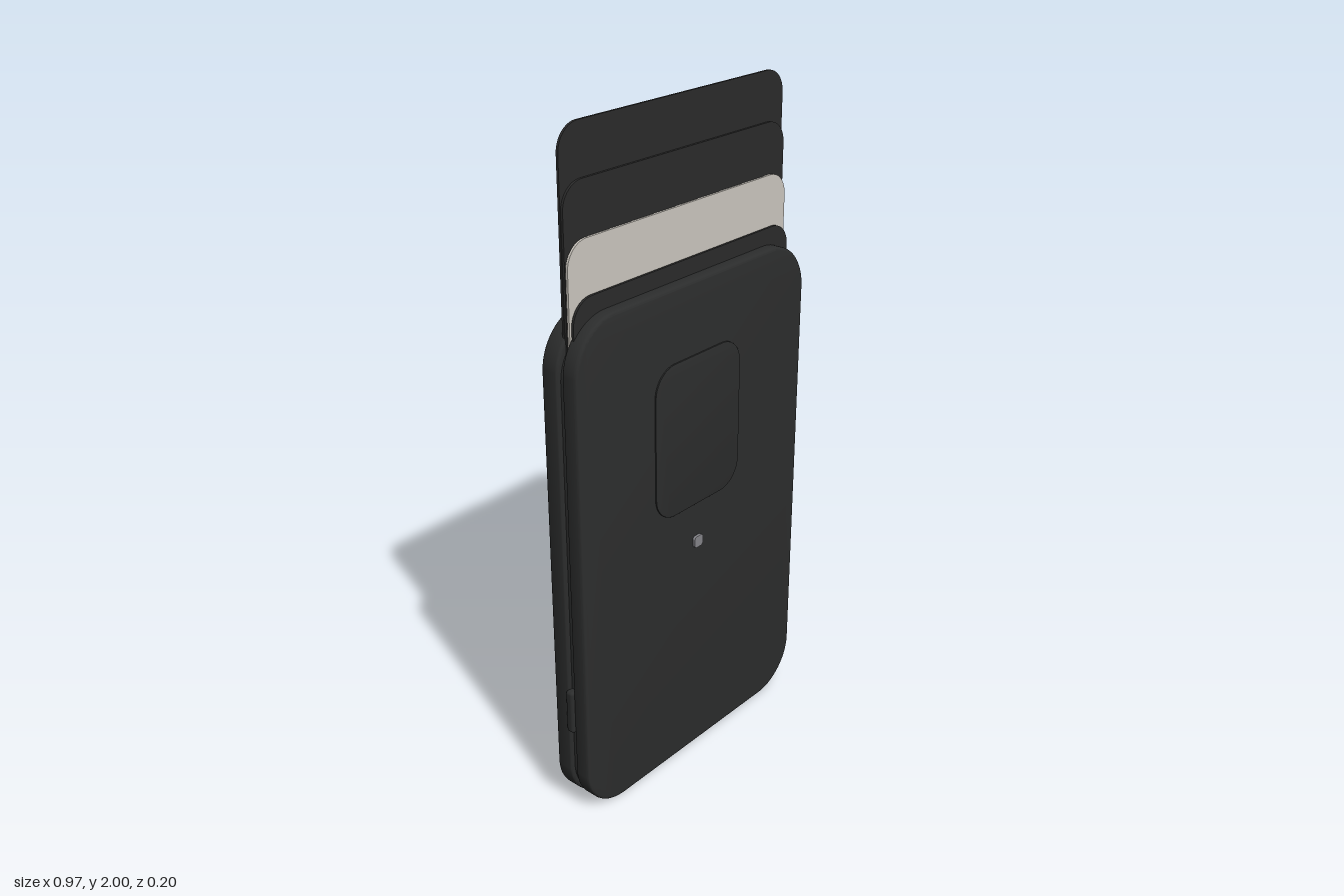
import * as THREE from 'three';
import { toCreasedNormals } from 'three/addons/utils/BufferGeometryUtils.js';
import { RoundedBoxGeometry } from 'three/addons/geometries/RoundedBoxGeometry.js';

const material = (name, color) => Object.assign(new THREE.MeshStandardMaterial({ color }), { name });

export function createModel() {
  const group = new THREE.Group();
  const black = material('black shell', 0x2c2d2d);
  const darkCard = material('charcoal card', 0x2b2b2b);
  const beige = material('beige card', 0xcbc6be);
  const grey = material('grey metal', 0x85858a);

  const add = (name, geometry, mat) => {
    const mesh = new THREE.Mesh(geometry, mat);
    mesh.name = name;
    group.add(mesh);
    return mesh;
  };

  // Upright plate with rounded corners between y0..y1 and z0..z1
  const plate = (name, width, y0, y1, radius, z0, z1, mat, bevel = 0) => {
    const a = width / 2 - bevel, b = y0 + bevel, t = y1 - bevel, r = radius - bevel;
    const s = new THREE.Shape();
    s.absarc(a - r, t - r, r, 0, Math.PI / 2);
    s.absarc(-a + r, t - r, r, Math.PI / 2, Math.PI);
    s.absarc(-a + r, b + r, r, Math.PI, Math.PI * 1.5);
    s.absarc(a - r, b + r, r, Math.PI * 1.5, Math.PI * 2);
    s.closePath();
    const g = new THREE.ExtrudeGeometry(s, {
      depth: z1 - z0 - 2 * bevel, curveSegments: 12,
      bevelEnabled: bevel > 0, bevelSize: bevel, bevelThickness: bevel, bevelSegments: 3,
    });
    g.translate(0, 0, z0 + bevel);
    return add(name, toCreasedNormals(g, 0.6), mat);
  };

  // Two shells with a recessed core forming the groove between them
  plate('frontShell', 0.95, 0, 1.52, 0.15, 0.042, 0.092, black, 0.008);
  plate('backShell', 0.95, 0, 1.52, 0.15, -0.03, 0.026, black, 0.008);
  plate('core', 0.925, 0.012, 1.49, 0.14, 0.015, 0.05, black);

  // Fanned cards, each standing lower than the one behind it
  [
    ['rearCard', 2.0, 0.015, darkCard],
    ['secondCard', 1.86, 0.024, darkCard],
    ['thirdCard', 1.714, 0.034, beige],
    ['frontCard', 1.568, 0.048, darkCard],
  ].forEach(([name, top, z, mat]) => plate(name, 0.88, top - 1.4, top, 0.07, z, z + 0.007, mat));

  // Raised pad and small square stud on the front
  plate('frontPad', 0.36, 0.845, 1.307, 0.08, 0.09, 0.096, black, 0.001);
  plate('frontStud', 0.036, 0.702, 0.738, 0.009, 0.09, 0.1, grey);

  // Belt clip: side profile drawn as (-z, y), swept across x
  const profile = new THREE.Shape();
  profile.moveTo(0.026, 0.39);
  profile.lineTo(0.044, 0.39);
  profile.lineTo(0.044, 1.18);
  profile.quadraticCurveTo(0.05, 1.265, 0.1, 1.298);
  profile.lineTo(0.089, 1.318);
  profile.quadraticCurveTo(0.036, 1.285, 0.026, 1.18);
  profile.closePath();
  const clip = new THREE.ExtrudeGeometry(profile, { depth: 0.364, bevelEnabled: false, curveSegments: 14 });
  clip.translate(0, 0, -0.182);
  clip.rotateY(Math.PI / 2);
  add('beltClip', toCreasedNormals(clip, 0.6), black);

  // Slide plate on the left edge with its dark surround
  add('slideSurround', new THREE.BoxGeometry(0.03, 0.53, 0.026), black).position.set(0.456, 0.955, 0.034);
  add('slidePlate', new THREE.BoxGeometry(0.03, 0.36, 0.044), grey).position.set(0.466, 0.955, 0.034);

  // Small push button on the right edge
  add('edgeButton', new RoundedBoxGeometry(0.03, 0.14, 0.028, 3, 0.01), black).position.set(-0.469, 0.35, 0.032);

  return group;
}
